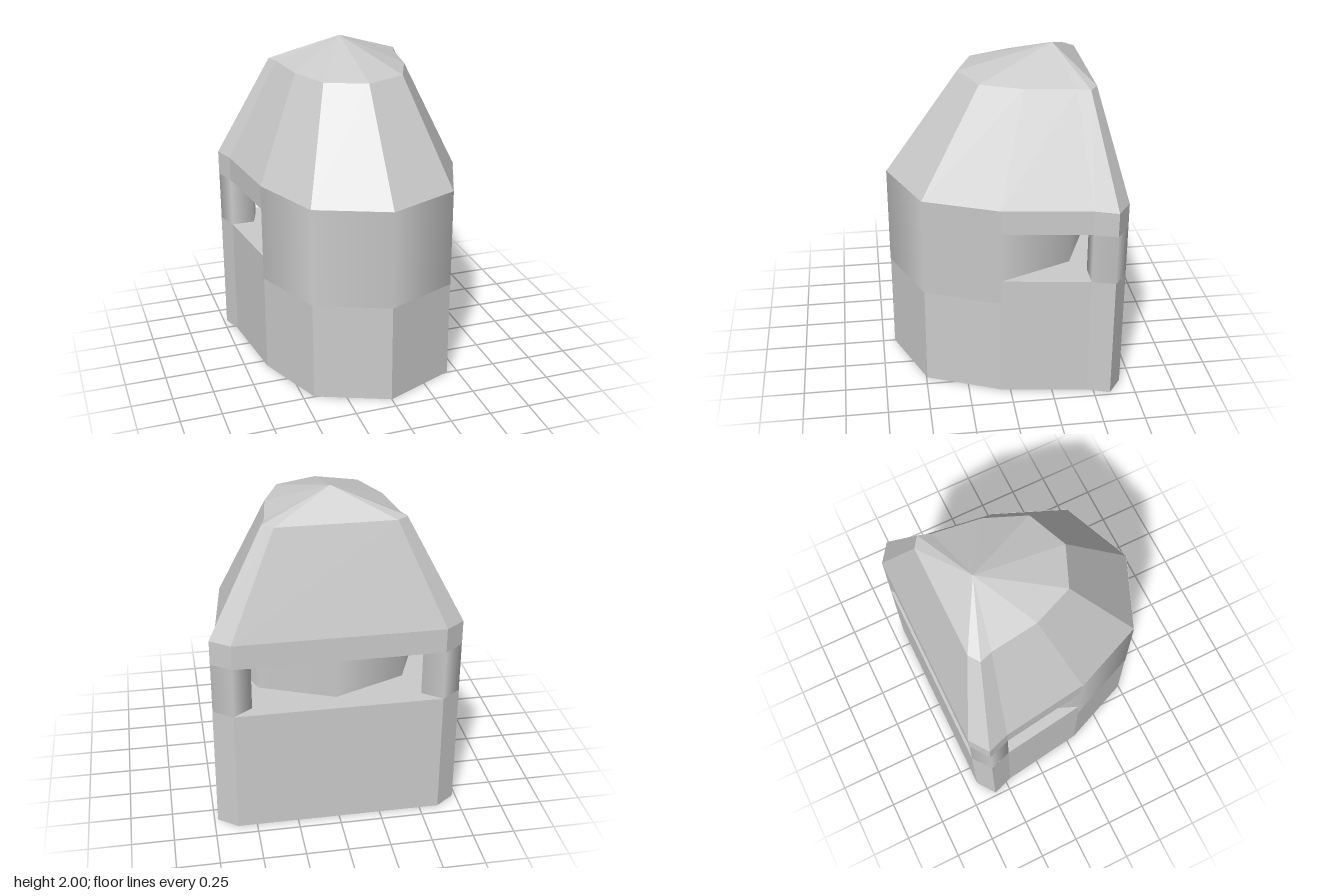
import * as THREE from 'three';

const APEX_Z = -0.32;

// Half of the plan outline, front to back on the +x side: x, z
const half = [[0, 0.675], [0.435, 0.495], [0.615, 0.06], [0.685, -0.463], [0.73, -0.597], [0.615, -0.68]];
const outline = [...half, ...half.slice(1).reverse().map(([x, z]) => [-x, z])];

// Flat-faced shell through levels of [height, scale about the apex axis]; scale 0 closes it
function loft(levels) {
  const positions = [];
  const point = (i, [y, s]) => {
    const [x, z] = outline[i % outline.length];
    return [x * s, y, APEX_Z + (z - APEX_Z) * s];
  };
  for (let k = 0; k < levels.length - 1; k++) {
    const low = levels[k], high = levels[k + 1];
    for (let i = 0; i < outline.length; i++) {
      const a = point(i, low), b = point(i + 1, low);
      const c = point(i + 1, high), d = point(i, high);
      if (low[1] > 0) positions.push(...a, ...b, ...c);
      if (high[1] > 0) positions.push(...a, ...c, ...d);
    }
  }
  const geometry = new THREE.BufferGeometry();
  geometry.setAttribute('position', new THREE.Float32BufferAttribute(positions, 3));
  geometry.computeVertexNormals();
  return geometry;
}

export function createModel() {
  const group = new THREE.Group();
  const flat = new THREE.MeshStandardMaterial({ color: 0xcccccc, flatShading: true });
  const smooth = new THREE.MeshStandardMaterial({ color: 0xcccccc });

  const add = (name, geometry, material, x = 0, y = 0, z = 0) => {
    const mesh = new THREE.Mesh(geometry, material);
    mesh.name = name;
    mesh.position.set(x, y, z);
    group.add(mesh);
  };

  // Solid lower walls up to the window sill
  add('lowerWalls', loft([[0, 0], [0, 1], [0.77, 1], [0.77, 0]]), flat);

  // Eave band, steep roof and shallow pointed cap
  add('roof', loft([[1.08, 0], [1.08, 1], [1.23, 1], [1.85, 0.56], [2, 0]]), flat);

  // Smooth eight-sided drum, a hair proud of the walls at the front
  add('drum', new THREE.CylinderGeometry(0.617, 0.617, 0.61, 8), smooth, 0, 0.925, 0.06);

  // Five-sided pillars carrying the two back corners
  for (const side of [1, -1]) {
    const pillar = new THREE.CylinderGeometry(0.12, 0.12, 0.31, 5, 1, false, Math.PI);
    add(side > 0 ? 'leftPillar' : 'rightPillar', pillar, smooth, side * 0.615, 0.925, -0.56);
  }

  return group;
}
